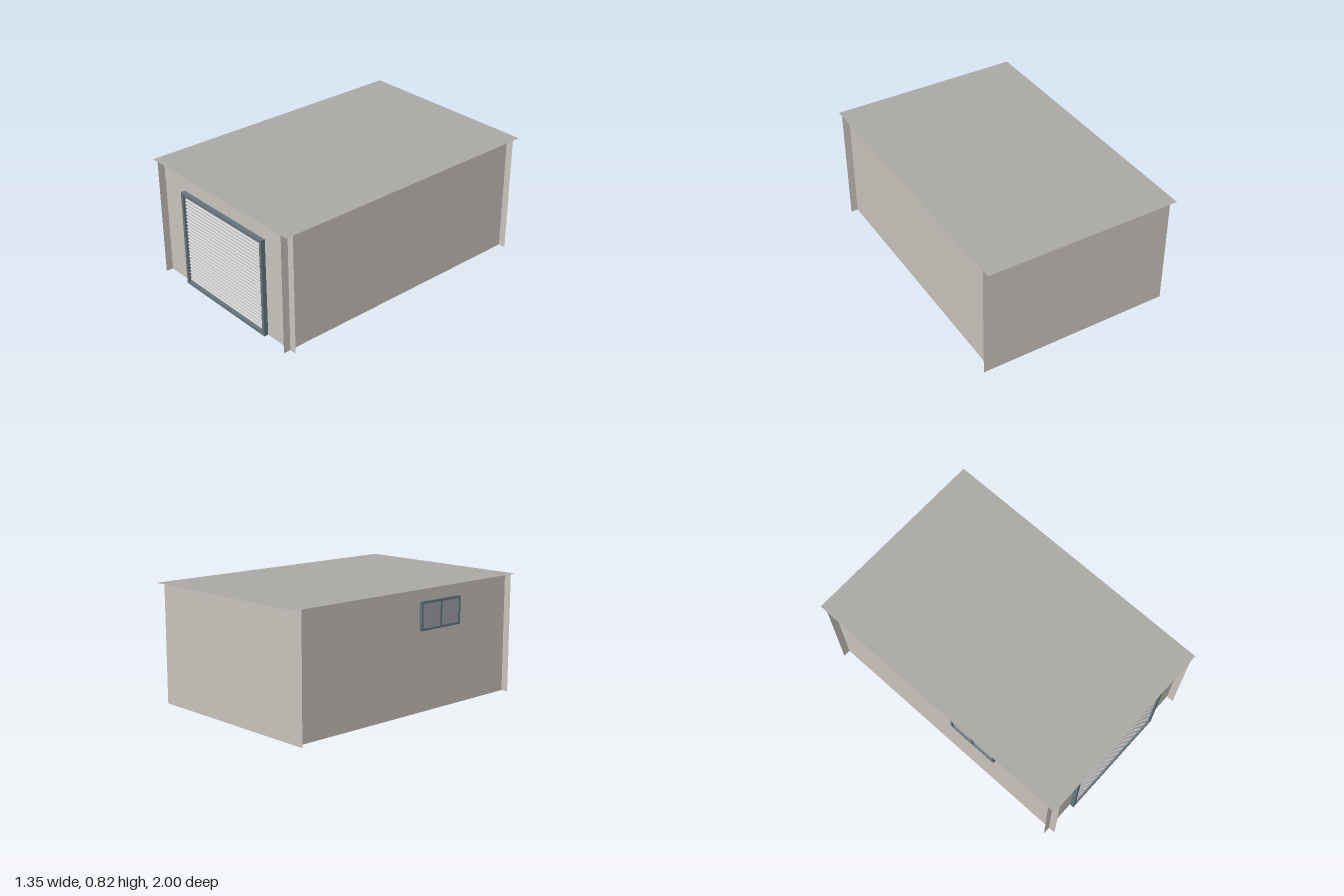
import * as THREE from 'three';

const mat = (color, side = THREE.DoubleSide) => new THREE.MeshStandardMaterial({ color, side });
const wallMat = mat(0xc8c4bc), roofMat = mat(0xabaaa6), floorMat = mat(0x9a9894);
const wainscotMat = mat(0x87938e), frameMat = mat(0x66767f, THREE.FrontSide);
const slatMat = mat(0xc4c3c4), glassMat = mat(0xa2a3a8);

const H = 0.82, HALF_X = 0.675, WALL_X = 0.625, FRONT_Z = 0.95, BACK_Z = -0.94;

function rect(x0, y0, x1, y1, Type = THREE.Shape) {
  const s = new Type();
  s.moveTo(x0, y0);
  s.lineTo(x1, y0);
  s.lineTo(x1, y1);
  s.lineTo(x0, y1);
  s.closePath();
  return s;
}

function add(parent, name, geometry, material, x = 0, y = 0, z = 0) {
  const m = new THREE.Mesh(geometry, material);
  m.name = name;
  m.position.set(x, y, z);
  parent.add(m);
  return m;
}

// Flat panel in the xy plane, with optional rectangular openings
function panel(x0, y0, x1, y1, holes = []) {
  const s = rect(x0, y0, x1, y1);
  for (const h of holes) s.holes.push(rect(...h, THREE.Path));
  return new THREE.ShapeGeometry(s);
}

// Rectangular frame with depth along z
function frame(w, h, t, depth, mullions = 0) {
  const s = rect(-w / 2, 0, w / 2, h);
  const n = mullions + 1, pane = (w - t * (n + 1)) / n;
  for (let i = 0; i < n; i++) {
    const x = -w / 2 + t + i * (pane + t);
    s.holes.push(rect(x, t, x + pane, h - t, THREE.Path));
  }
  return new THREE.ExtrudeGeometry(s, { depth, bevelEnabled: false });
}

export function createModel() {
  const model = new THREE.Group();
  model.name = 'garage';

  // Roof sheet and floor
  add(model, 'roof', new THREE.PlaneGeometry(2 * HALF_X, 2), roofMat, 0, H, 0).rotation.x = -Math.PI / 2;
  add(model, 'floor', new THREE.PlaneGeometry(2 * WALL_X, FRONT_Z - BACK_Z), floorMat,
    0, 0.004, (FRONT_Z + BACK_Z) / 2).rotation.x = -Math.PI / 2;

  // Front and back walls run past the side walls to form corner fins
  add(model, 'frontWall', panel(-HALF_X, 0, HALF_X, H, [[-0.4, 0.01, 0.4, 0.67]]), wallMat, 0, 0, FRONT_Z);
  add(model, 'backWall', panel(-HALF_X, 0, HALF_X, H), wallMat, 0, 0, BACK_Z);

  // Side walls run past the front wall; the right one has the window opening
  const windowZ = 0.285, windowY = 0.54, windowW = 0.37, windowH = 0.19;
  const opening = [windowZ - windowW / 2 + 0.01, windowY + 0.01, windowZ + windowW / 2 - 0.01, windowY + windowH - 0.01];
  for (const side of [1, -1]) {
    const wall = add(model, side > 0 ? 'leftWall' : 'rightWall',
      panel(BACK_Z, 0, 1, H, side < 0 ? [opening] : []), wallMat, side * WALL_X);
    wall.rotation.y = -Math.PI / 2;
  }

  // Painted band along the inside of the walls
  const bandH = 0.32, gap = 0.004;
  for (const side of [1, -1]) {
    add(model, 'sideBand', panel(BACK_Z + gap, 0.005, FRONT_Z - gap, bandH), wainscotMat,
      side * (WALL_X - gap)).rotation.y = -Math.PI / 2;
    const [a, b] = side > 0 ? [0.41, WALL_X - gap] : [gap - WALL_X, -0.41];
    add(model, 'frontBand', panel(a, 0.005, b, bandH), wainscotMat, 0, 0, FRONT_Z - gap);
  }
  add(model, 'backBand', panel(gap - WALL_X, 0.005, WALL_X - gap, bandH), wainscotMat, 0, 0, BACK_Z + gap);

  // Roller door: frame and corrugated shutter
  const door = new THREE.Group();
  door.name = 'rollerDoor';
  door.position.z = FRONT_Z;
  model.add(door);
  add(door, 'doorFrame', frame(0.82, 0.68, 0.02, 0.04), frameMat, 0, 0, -0.01);
  const slats = 26, doorH = 0.64;
  const shutter = new THREE.PlaneGeometry(0.78, doorH, 1, slats * 8);
  const p = shutter.attributes.position;
  for (let i = 0; i < p.count; i++) {
    const phase = (p.getY(i) / doorH + 0.5) * slats * Math.PI * 2;
    p.setZ(i, -0.005 * Math.cos(phase));
  }
  shutter.computeVertexNormals();
  add(door, 'shutter', shutter, slatMat, 0, 0.34, 0.012);

  // Two-pane window high on the side wall
  const win = new THREE.Group();
  win.name = 'window';
  win.position.set(-WALL_X, windowY, windowZ);
  win.rotation.y = -Math.PI / 2;
  model.add(win);
  add(win, 'windowFrame', frame(windowW, windowH, 0.015, 0.03, 1), frameMat, 0, 0, -0.01);
  add(win, 'windowGlass', panel(-windowW / 2 + 0.01, 0.01, windowW / 2 - 0.01, windowH - 0.01), glassMat, 0, 0, 0.01);

  return model;
}
